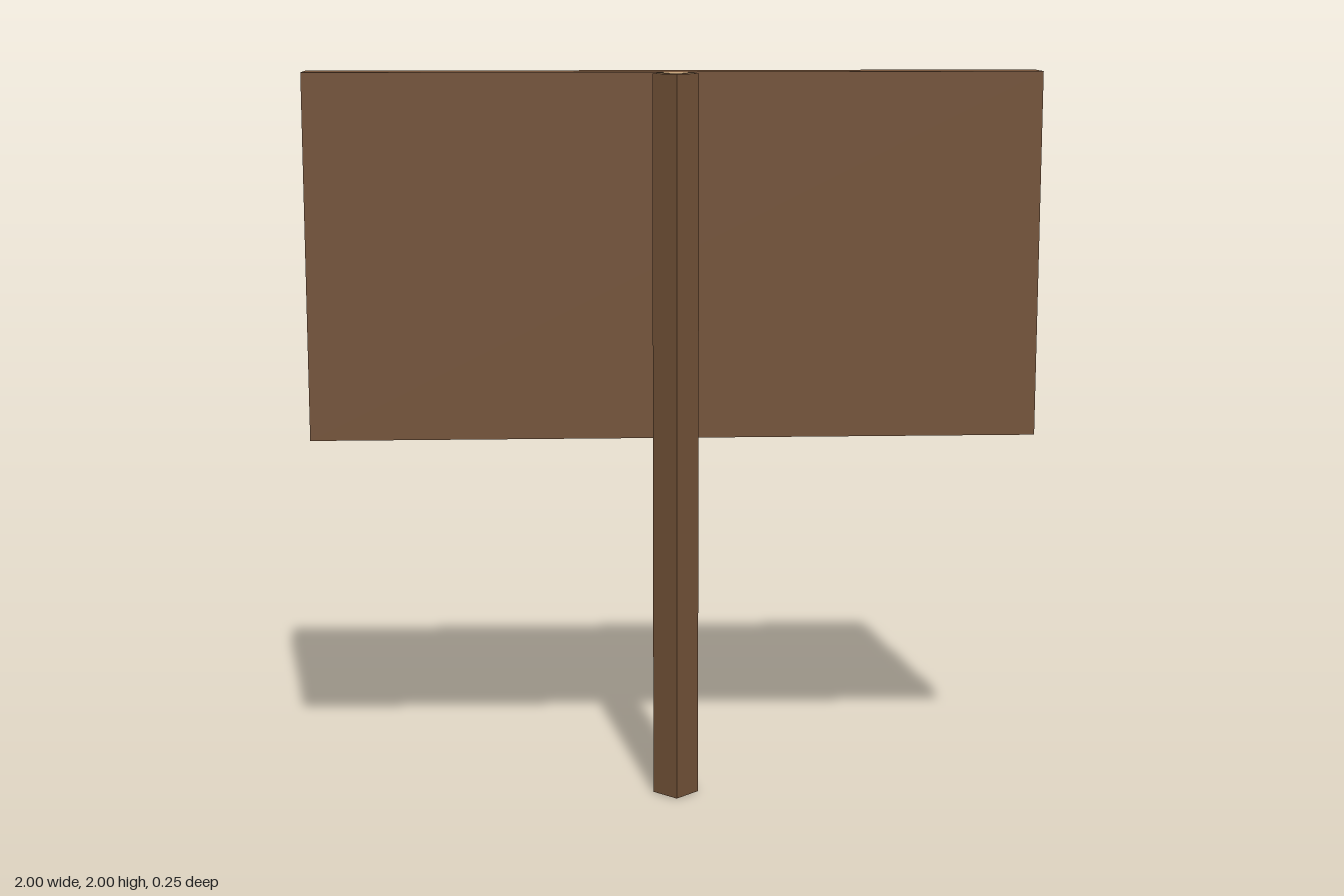
import * as THREE from 'three';

const wood = new THREE.MeshStandardMaterial({ color: 0x735238, flatShading: true });
wood.name = 'brown wood';
const paleWood = new THREE.MeshStandardMaterial({ color: 0xc8a47a });
paleWood.name = 'pale wood';
const ink = new THREE.MeshStandardMaterial({ color: 0x0c0c0c });
ink.name = 'black ink';

const BACK = -0.125; // written face of the board

function add(parent, name, geometry, material, x = 0, y = 0, z = 0) {
  const mesh = new THREE.Mesh(geometry, material);
  mesh.name = name;
  mesh.position.set(x, y, z);
  parent.add(mesh);
  return mesh;
}

function plate(shape, depth) {
  return new THREE.ExtrudeGeometry(shape, { depth, bevelEnabled: false, curveSegments: 4 });
}

// Rectangle with clipped corners
function panelShape(w, h, c) {
  return new THREE.Shape([
    [-w + c, -h], [w - c, -h], [w, -h + c], [w, h - c],
    [w - c, h], [-w + c, h], [-w, h - c], [-w, -h + c],
  ].map(([x, y]) => new THREE.Vector2(x, y)));
}

// Wavy brush stroke of constant height through points [x, y]
function strokeShape(points, half) {
  const curve = new THREE.SplineCurve(points.map(([x, y]) => new THREE.Vector2(x, y)));
  const spine = curve.getPoints(90);
  const top = spine.map((p) => new THREE.Vector2(p.x, p.y + half));
  const bottom = spine.map((p) => new THREE.Vector2(p.x, p.y - half)).reverse();
  return new THREE.Shape([...top, ...bottom]);
}

const strokes = [
  [[0.83, 1.73], [0.77, 1.75], [0.69, 1.74], [0.59, 1.73], [0.52, 1.74], [0.42, 1.73], [0.35, 1.68],
    [0.27, 1.71], [0.19, 1.76], [0.1, 1.75], [0, 1.72], [-0.08, 1.7], [-0.17, 1.74], [-0.25, 1.72],
    [-0.32, 1.71], [-0.41, 1.75], [-0.54, 1.74], [-0.69, 1.74], [-0.75, 1.77]],
  [[0.83, 1.46], [0.78, 1.5], [0.71, 1.5], [0.64, 1.47], [0.57, 1.42], [0.48, 1.44], [0.41, 1.46],
    [0.31, 1.44], [0.19, 1.43], [0.1, 1.48], [0.05, 1.48], [0, 1.45], [-0.12, 1.49], [-0.21, 1.51],
    [-0.31, 1.49], [-0.46, 1.48], [-0.62, 1.47], [-0.71, 1.48], [-0.76, 1.51]],
  [[0.82, 1.19], [0.77, 1.22], [0.69, 1.24], [0.6, 1.21], [0.52, 1.19], [0.41, 1.22], [0.32, 1.22],
    [0.23, 1.19], [0.14, 1.23], [0.04, 1.23], [-0.08, 1.23], [-0.17, 1.22], [-0.25, 1.19],
    [-0.35, 1.23], [-0.45, 1.25], [-0.52, 1.22], [-0.62, 1.23], [-0.68, 1.25], [-0.77, 1.23]],
];

export function createModel() {
  const sign = new THREE.Group();
  sign.name = 'signpost';

  // Board and its pale writing panel
  add(sign, 'board', new THREE.BoxGeometry(2, 1, 0.125), wood, 0, 1.5, BACK / 2);
  add(sign, 'writingPanel', plate(panelShape(0.94, 0.435, 0.025), 0.002), paleWood, 0, 1.5, BACK - 0.002);

  // Scribbled lines with rounded ends
  const writing = new THREE.Group();
  writing.name = 'writing';
  sign.add(writing);
  strokes.forEach((points, i) => {
    add(writing, `scribble${i + 1}`, plate(strokeShape(points, 0.027), 0.002), ink, 0, 0, BACK - 0.004);
    for (const [x, y] of [points[0], points[points.length - 1]]) {
      const dot = new THREE.CylinderGeometry(0.029, 0.029, 0.002, 12).rotateX(Math.PI / 2);
      add(writing, 'strokeEnd', dot, ink, x, y, BACK - 0.0035);
    }
  });

  // Square post set cornerwise in front, with pale cut ends
  add(sign, 'post', new THREE.CylinderGeometry(0.0625, 0.0625, 1.996, 4), wood, 0, 1, 0.0625);
  for (const [name, y] of [['postTopCut', 1.999], ['postBottomCut', 0.001]]) {
    add(sign, name, new THREE.CylinderGeometry(0.051, 0.051, 0.002, 4), paleWood, 0, y, 0.0515);
  }
  return sign;
}
